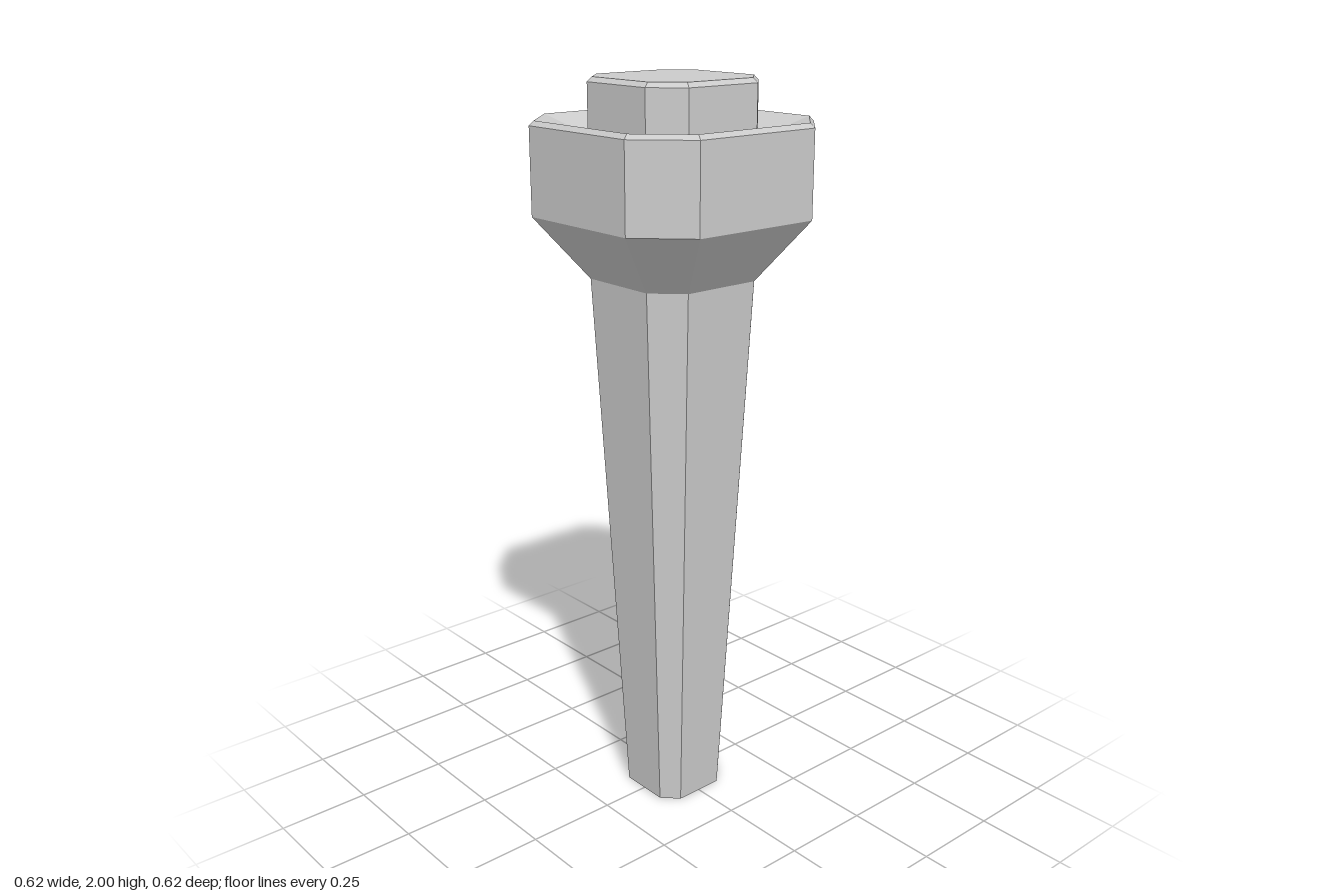
import * as THREE from 'three';

const material = new THREE.MeshStandardMaterial({ color: 0xcccccc, flatShading: true });

// Square with cut corners: h = half width, c = half length of the straight sides
function ring([y, h, c]) {
  return [[-c, h], [c, h], [h, c], [h, -c], [c, -h], [-c, -h], [-h, -c], [-h, c]]
    .map(([x, z]) => [x, y, z]);
}

// Skin a list of [y, h, c] sections; a section with h = 0 closes the end
function loft(name, sections) {
  const positions = [];
  for (let s = 0; s < sections.length - 1; s++) {
    const a = ring(sections[s]);
    const b = ring(sections[s + 1]);
    for (let i = 0; i < 8; i++) {
      const j = (i + 1) % 8;
      if (sections[s][1] > 0) positions.push(...a[i], ...a[j], ...b[j]);
      if (sections[s + 1][1] > 0) positions.push(...a[i], ...b[j], ...b[i]);
    }
  }
  // Caps: a zero section leaves one triangle per side
  const geometry = new THREE.BufferGeometry();
  geometry.setAttribute('position', new THREE.Float32BufferAttribute(positions, 3));
  geometry.computeVertexNormals();
  const mesh = new THREE.Mesh(geometry, material);
  mesh.name = name;
  return mesh;
}

export function createModel() {
  const group = new THREE.Group();
  group.name = 'taperedPost';

  // Tapered shaft, closed at the foot
  group.add(loft('shaft', [[0, 0, 0], [0, 0.112, 0.07], [1.497, 0.185, 0.112]]));

  // Flared head with a bevelled rim and a dished top
  group.add(loft('head', [
    [1.497, 0.185, 0.112],
    [1.66, 0.31, 0.187],
    [1.885, 0.31, 0.187],
    [1.897, 0.298, 0.182],
    [1.842, 0.185, 0.112],
  ]));

  // Bevelled plug rising from the dish
  group.add(loft('plug', [
    [1.842, 0.185, 0.112],
    [1.988, 0.185, 0.112],
    [2, 0.173, 0.107],
    [2, 0, 0],
  ]));

  return group;
}
